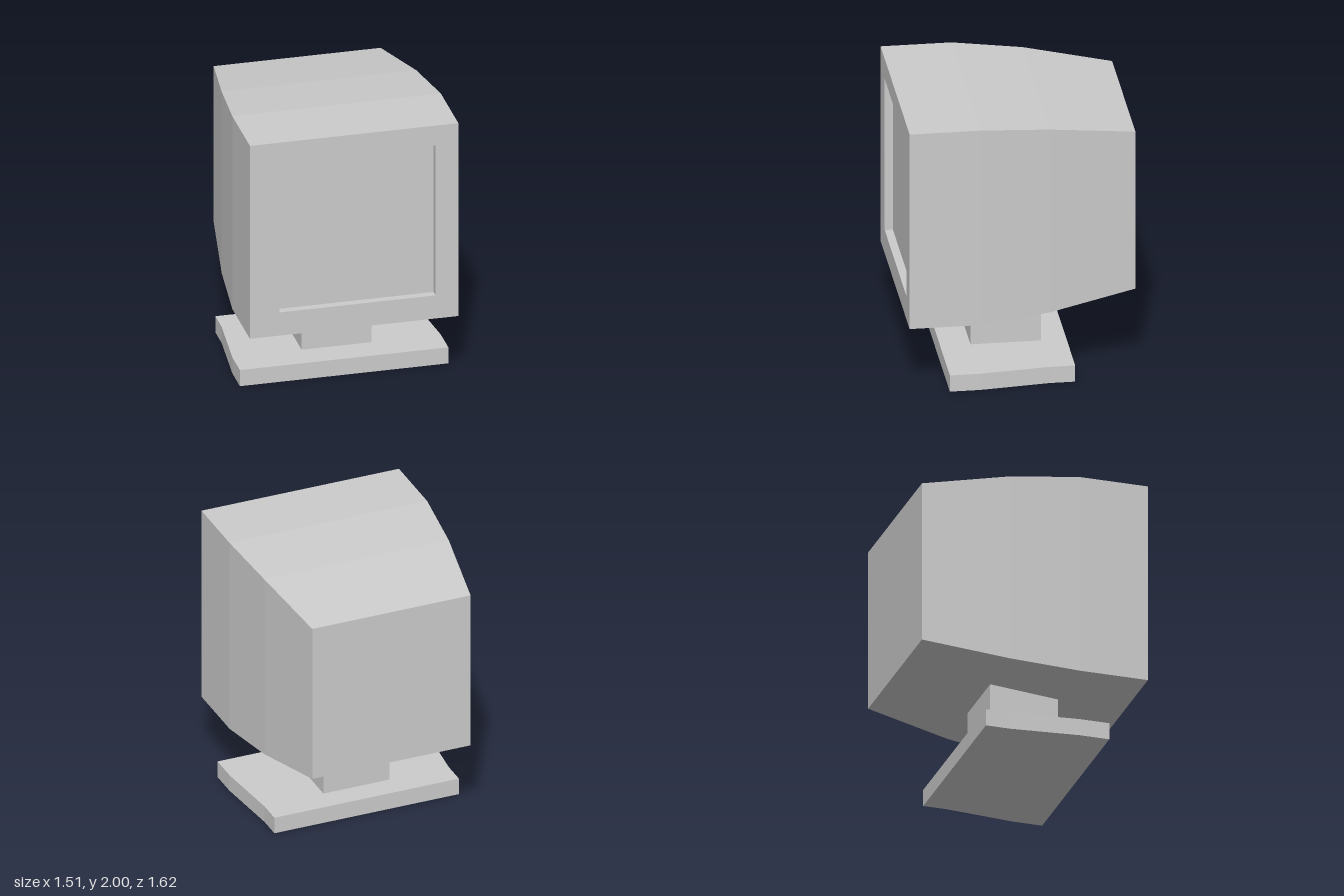
import * as THREE from 'three';

const material = new THREE.MeshStandardMaterial({ color: 0xcccccc, flatShading: true });

function addPart(parent, name, geometry, x = 0, y = 0, z = 0) {
  const mesh = new THREE.Mesh(geometry, material);
  mesh.name = name;
  mesh.position.set(x, y, z);
  parent.add(mesh);
  return mesh;
}

// Box whose cross-section changes from back to front: [z, half width, half height]
function taperedBox(sections) {
  const steps = sections.length - 1;
  const box = new THREE.BoxGeometry(2, 2, steps, 1, 1, steps);
  const p = box.attributes.position;
  for (let i = 0; i < p.count; i++) {
    const [z, w, h] = sections[Math.round(p.getZ(i) + steps / 2)];
    p.setXYZ(i, p.getX(i) * w, p.getY(i) * h, z);
  }
  const flat = box.toNonIndexed();
  flat.computeVertexNormals();
  return flat;
}

function rectangle(path, x0, y0, x1, y1) {
  path.moveTo(x0, y0);
  path.lineTo(x1, y0);
  path.lineTo(x1, y1);
  path.lineTo(x0, y1);
  path.closePath();
  return path;
}

export function createModel() {
  const model = new THREE.Group();
  model.name = 'monitor';

  const front = 0.81, recess = 0.06;

  // Casing narrowing towards the back
  addPart(model, 'casing', taperedBox([
    [-0.81, 0.605, 0.605],
    [-0.19, 0.705, 0.705],
    [0.31, 0.755, 0.75],
    [front - recess, 0.755, 0.75],
  ]), 0, 1.25, 0);

  // Front frame with an off-centre opening
  const frame = rectangle(new THREE.Shape(), -0.755, 0.5, 0.755, 2);
  frame.holes.push(rectangle(new THREE.Path(), -0.54, 0.68, 0.59, 1.845));
  addPart(model, 'screenFrame',
    new THREE.ExtrudeGeometry(frame, { depth: recess, bevelEnabled: false }),
    0, 0, front - recess);

  // Screen at the bottom of the recess
  addPart(model, 'screen', new THREE.PlaneGeometry(1.13, 1.165),
    0.025, 1.2625, front - recess + 0.002);

  // Neck reaching up into the casing
  addPart(model, 'neck', new THREE.BoxGeometry(0.505, 0.46, 0.5), 0, 0.34, 0.06);

  // Foot, slightly narrower at the back
  addPart(model, 'base', taperedBox([
    [-0.37, 0.705, 0.0625],
    [-0.19, 0.705, 0.0625],
    [0.31, 0.755, 0.0625],
    [0.525, 0.755, 0.0625],
  ]), 0, 0.0625, 0);

  return model;
}
